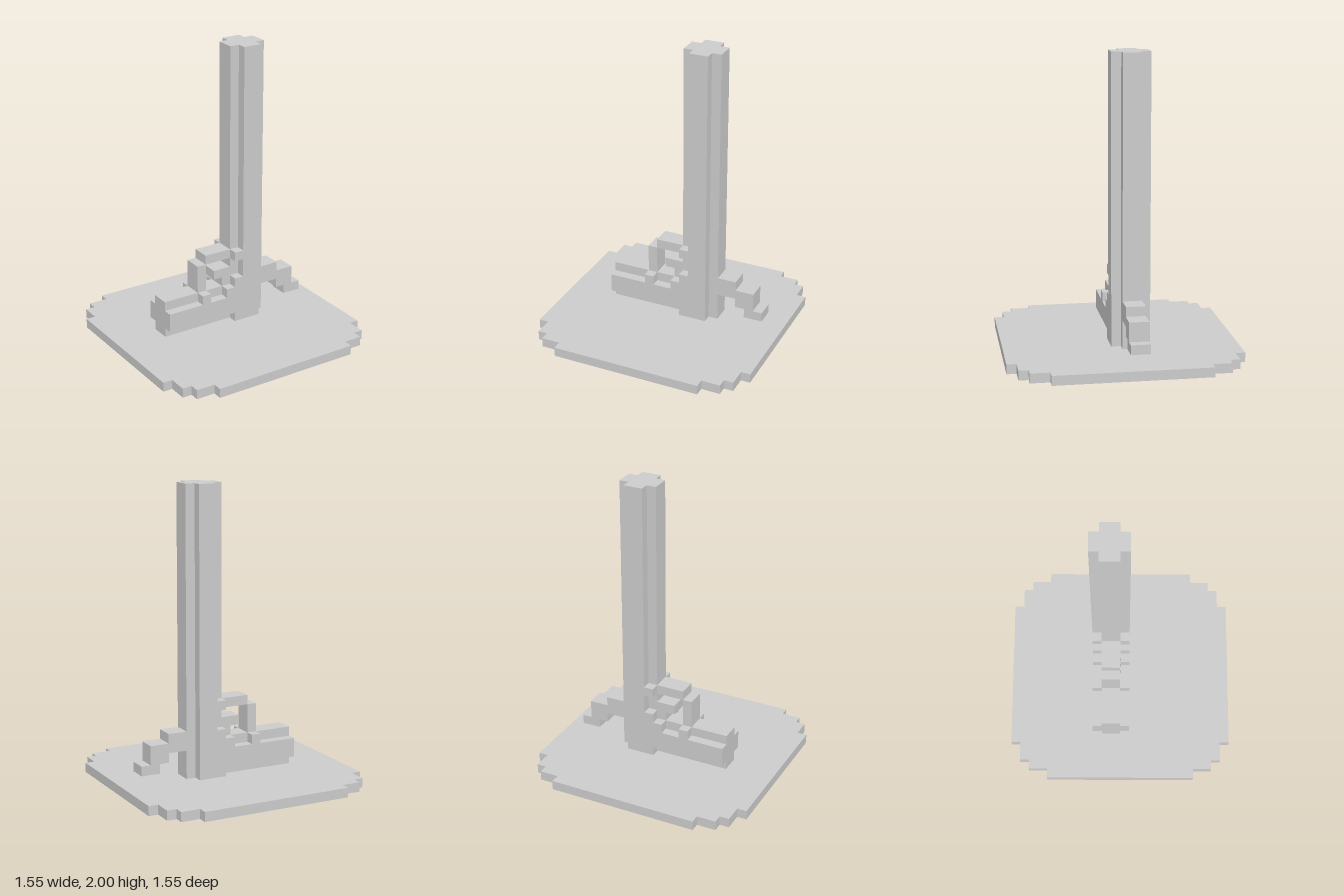
import * as THREE from 'three';

const U = 2 / 31; // one block

export function createModel() {
  const model = new THREE.Group();
  const material = new THREE.MeshStandardMaterial({ color: 0xcccccc, flatShading: true });

  // Extrudes an outline given in blocks from z0 to z1
  function slab(name, points, z0, z1) {
    const shape = new THREE.Shape(points.map(([x, y]) => new THREE.Vector2(x * U, y * U)));
    const geometry = new THREE.ExtrudeGeometry(shape, { depth: (z1 - z0) * U, bevelEnabled: false });
    geometry.translate(0, 0, z0 * U);
    const mesh = new THREE.Mesh(geometry, material);
    mesh.name = name;
    model.add(mesh);
    return mesh;
  }
  const rect = (x0, y0, x1, y1) => [[x0, y0], [x1, y0], [x1, y1], [x0, y1]];

  // Stepped round base plate: one quarter outline turned four times
  const quarter = [[12, -8], [12, 8], [11, 8], [11, 10], [10, 10], [10, 11], [8, 11], [8, 12]];
  const outline = [];
  for (let i = 0; i < 4; i++) {
    for (const [x, y] of quarter.slice(1)) {
      outline.push([[x, y], [-y, x], [-x, -y], [y, -x]][i]);
    }
  }
  const base = slab('basePlate', outline, 0, 1);
  base.geometry.rotateX(-Math.PI / 2);

  // Middle layer: barrel and grip in one piece
  slab('barrelAndGripCore',
    [[-7, 1], [5, 1], [5, 31], [1, 31], [1, 6], [0, 6], [0, 5], [-7, 5]], -2, 0);

  // Trigger and its guard
  slab('trigger', rect(-1, 6, 1, 7), -2, 0);
  slab('triggerGuardPost', rect(-3, 5, -2, 8), -2, 0);
  slab('triggerGuardBar', rect(-2, 8, 1, 9), -2, 0);

  // Stepped hammer on the far side of the barrel
  slab('hammer',
    [[5, 4], [7, 4], [7, 3], [8, 3], [8, 2], [10, 2], [10, 3], [9, 3], [9, 5], [7, 5], [7, 6], [5, 6]], -2, 0);

  // Side layers, one on each face of the core
  const side = [
    [-7, 2], [1, 2], [1, 1], [4, 1], [4, 31], [2, 31], [2, 9], [1, 9], [1, 8], [2, 8],
    [2, 6], [1, 6], [1, 5], [0, 5], [0, 4], [-2, 4], [-2, 5], [-3, 5], [-3, 4], [-7, 4],
  ];
  slab('frontSidePlate', side, 0, 1);
  slab('backSidePlate', side, -3, -2);

  return model;
}
